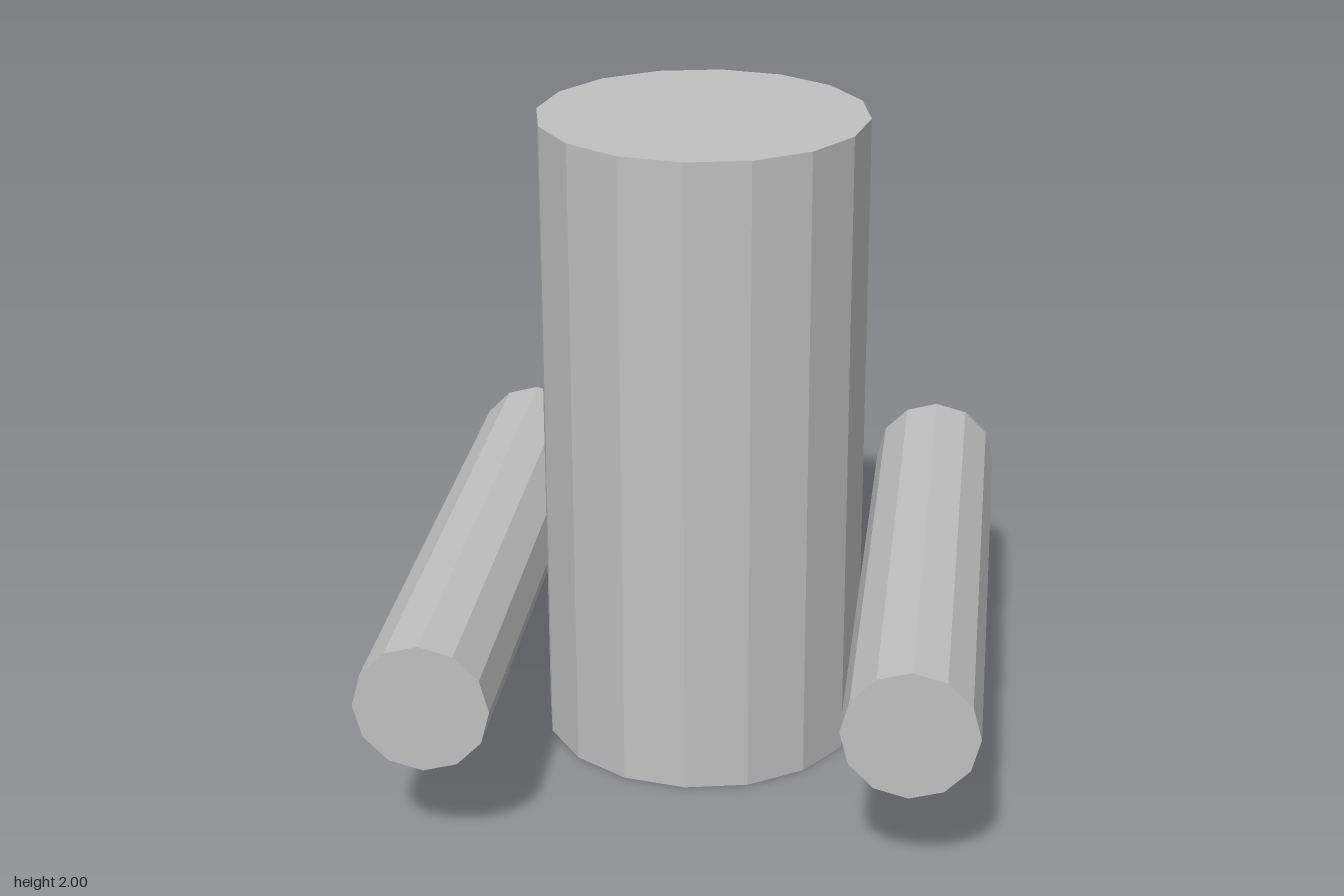
import * as THREE from 'three';

export function createModel() {
  const model = new THREE.Group();
  const grey = new THREE.MeshStandardMaterial({ color: 0xc0c0c0, flatShading: true });
  grey.name = 'grey';

  // Upright sixteen-sided body
  const body = new THREE.Mesh(new THREE.CylinderGeometry(0.5, 0.5, 2, 16), grey);
  body.name = 'body';
  body.position.y = 1;
  model.add(body);

  // Twelve-sided bars lying front to back, touching the body on each side
  const barGeometry = new THREE.CylinderGeometry(0.2, 0.2, 2, 12).rotateX(Math.PI / 2);
  for (const [name, side] of [['leftBar', 1], ['rightBar', -1]]) {
    const bar = new THREE.Mesh(barGeometry, grey);
    bar.name = name;
    bar.position.set(side * 0.7, 0.5, 0);
    model.add(bar);
  }
  return model;
}
